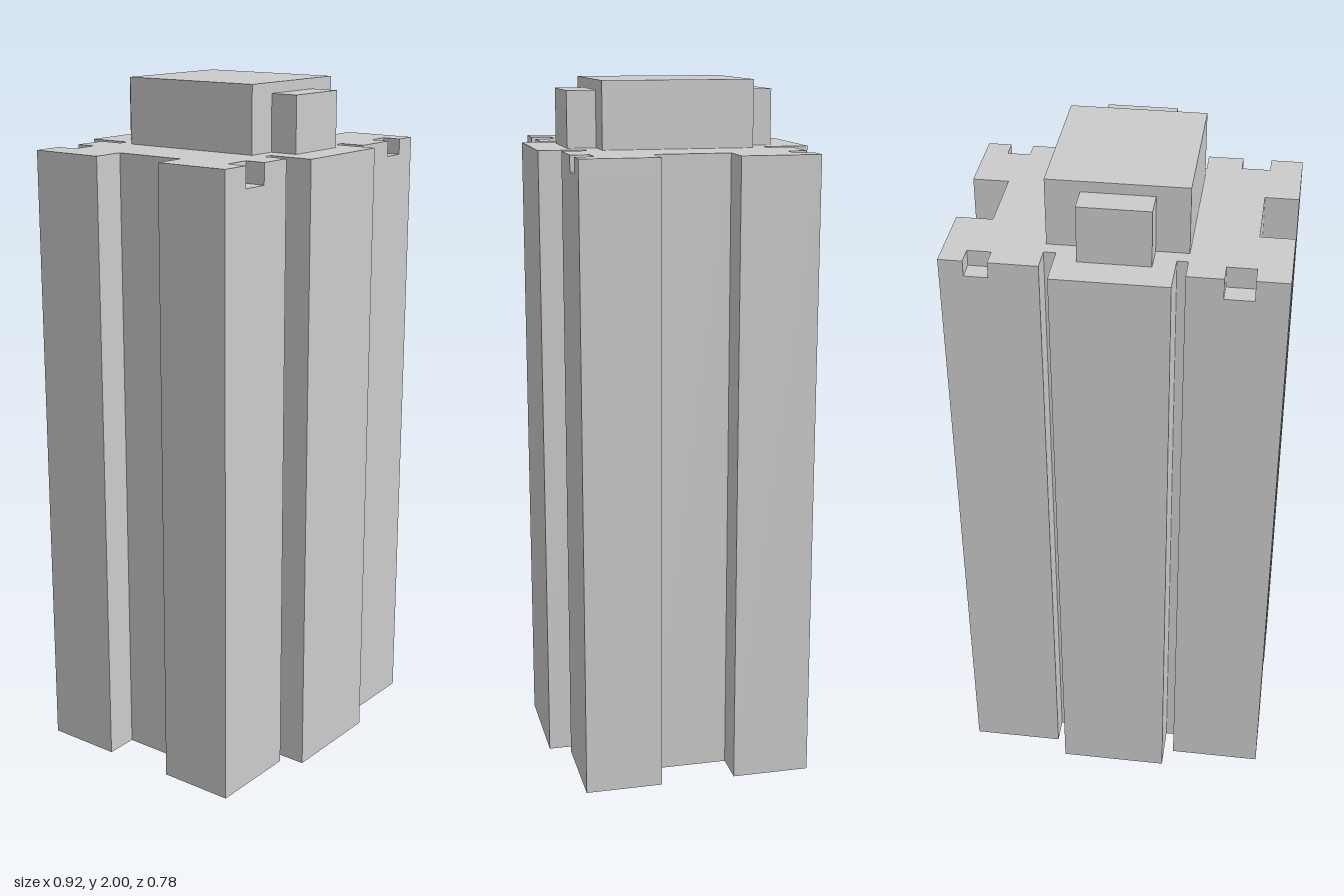
import * as THREE from 'three';

const material = new THREE.MeshStandardMaterial({ color: 0xcccccc, flatShading: true, side: THREE.DoubleSide });

const HEIGHT = 1.81;

// Roof notches in the corner wings: x range, floor height, inner z at front and back
const notches = {
  left: { x0: -0.37, x1: -0.29, y: 1.75, front: 0.27, back: -0.275 },
  right: { x0: 0.325, x1: 0.39, y: 1.765, front: 0.275, back: -0.28 },
};
const FRONT = 0.33, BACK = -0.335;

// Plan outline [x, z], running so that wall normals face outward
function outline(cutLeft, cutRight) {
  const bite = (on, n, front) => {
    if (!on) return [];
    const edge = front ? FRONT : BACK, inner = front ? n.front : n.back;
    const pts = [[n.x0, edge], [n.x0, inner], [n.x1, inner], [n.x1, edge]];
    return front ? pts : pts.reverse();
  };
  return [
    [-0.46, FRONT], ...bite(cutLeft, notches.left, true), [-0.19, FRONT],
    [-0.19, 0.257], [-0.16, 0.257], [-0.16, 0.39], [0.157, 0.39], [0.157, 0.257], [0.19, 0.257],
    [0.19, FRONT], ...bite(cutRight, notches.right, true), [0.456, FRONT],
    [0.456, 0.107], [0.355, 0.107], [0.355, -0.11], [0.456, -0.11],
    [0.456, BACK], ...bite(cutRight, notches.right, false), [0.19, BACK],
    [0.19, -0.262], [0.157, -0.262], [0.157, -0.393], [-0.16, -0.393], [-0.16, -0.262], [-0.19, -0.262],
    [-0.19, BACK], ...bite(cutLeft, notches.left, false), [-0.46, BACK],
    [-0.46, -0.11], [-0.365, -0.11], [-0.365, 0.107], [-0.46, 0.107],
  ];
}

// Vertical strip of walls following an outline
function walls(points, y0, y1) {
  const pos = [];
  points.forEach(([ax, az], i) => {
    const [bx, bz] = points[(i + 1) % points.length];
    pos.push(ax, y0, az, bx, y0, bz, bx, y1, bz);
    pos.push(ax, y0, az, bx, y1, bz, ax, y1, az);
  });
  const geo = new THREE.BufferGeometry();
  geo.setAttribute('position', new THREE.Float32BufferAttribute(pos, 3));
  geo.computeVertexNormals();
  return geo;
}

// Flat upward-facing surface filling an outline
function cap(points, y) {
  const shape = new THREE.Shape(points.map(([x, z]) => new THREE.Vector2(x, -z)));
  return new THREE.ShapeGeometry(shape).rotateX(-Math.PI / 2).translate(0, y, 0);
}

export function createModel() {
  const model = new THREE.Group();
  model.name = 'tower';
  const add = (parent, name, geo) => {
    const mesh = new THREE.Mesh(geo, material);
    mesh.name = name;
    parent.add(mesh);
  };
  const box = (name, x0, x1, y1, z0, z1) => add(model, name,
    new THREE.BoxGeometry(x1 - x0, y1 - HEIGHT, z1 - z0)
      .translate((x0 + x1) / 2, (y1 + HEIGHT) / 2, (z0 + z1) / 2));

  // Hollow shaft, open underneath
  const shaft = new THREE.Group();
  shaft.name = 'shaft';
  model.add(shaft);
  const { left, right } = notches;
  add(shaft, 'lowerWalls', walls(outline(false, false), 0, left.y));
  add(shaft, 'notchBandWalls', walls(outline(true, false), left.y, right.y));
  add(shaft, 'parapetWalls', walls(outline(true, true), right.y, HEIGHT));
  add(shaft, 'roof', cap(outline(true, true), HEIGHT));

  // Notch floors
  for (const [side, n] of Object.entries(notches)) {
    for (const [end, z0, z1] of [['Front', n.front, FRONT], ['Back', BACK, n.back]]) {
      add(shaft, `${side}${end}NotchFloor`,
        cap([[n.x0, z1], [n.x1, z1], [n.x1, z0], [n.x0, z0]], n.y));
    }
  }

  // Rooftop block with a smaller block at front and back
  box('rooftopBlock', -0.19, 0.19, 2, -0.22, 0.215);
  box('frontRooftopBlock', -0.1, 0.097, 1.97, 0.215, 0.298);
  box('backRooftopBlock', -0.1, 0.097, 1.97, -0.3, -0.22);

  return model;
}
